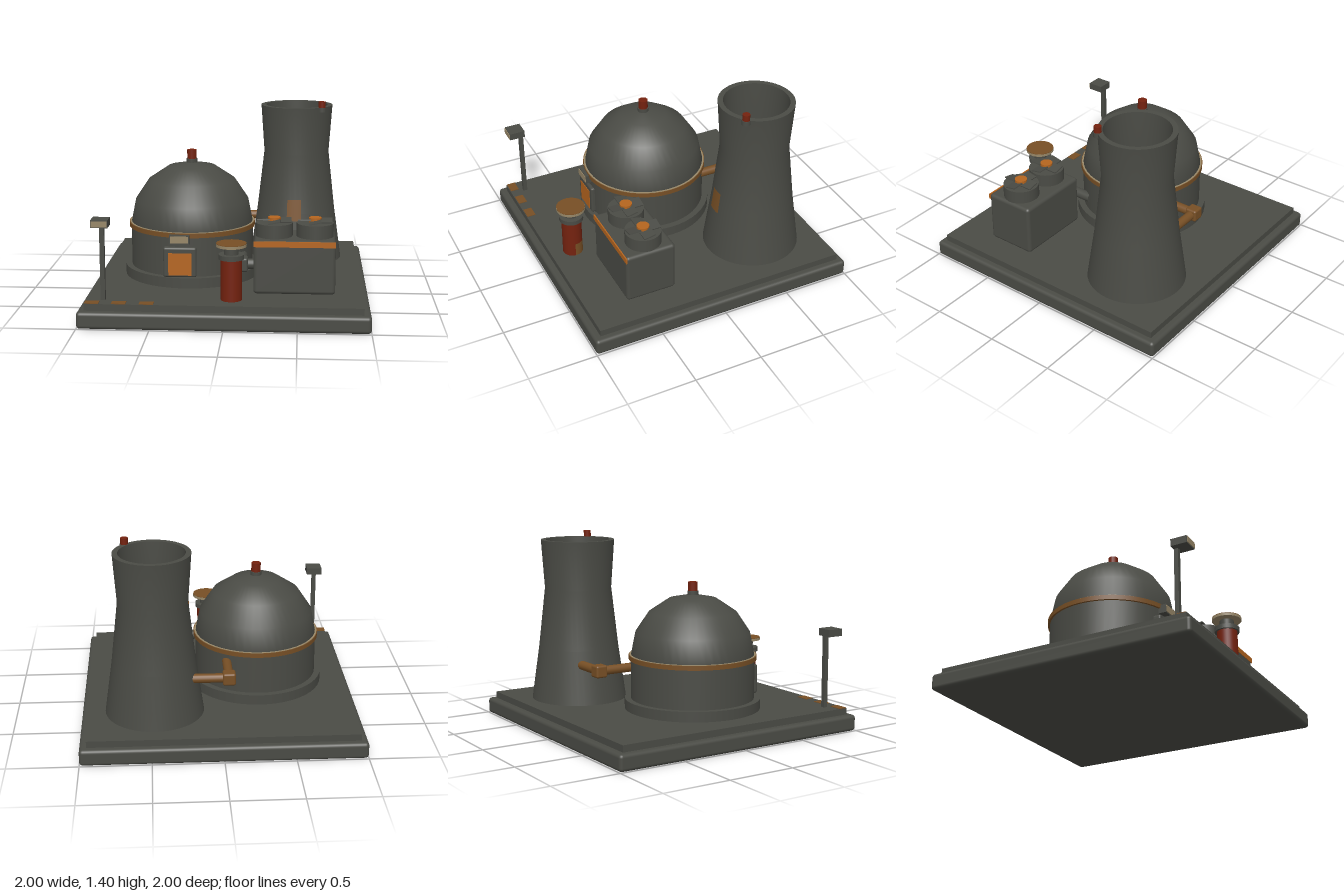
import * as THREE from 'three';
import { RoundedBoxGeometry } from 'three/addons/geometries/RoundedBoxGeometry.js';
import { toCreasedNormals } from 'three/addons/utils/BufferGeometryUtils.js';

const mat = (name, color) => Object.assign(new THREE.MeshStandardMaterial({ color }), { name });

export function createModel() {
  const grey = mat('concrete grey', 0x4a4b45);
  const brown = mat('rust brown', 0x774f25);
  const orange = mat('signal orange', 0xb5651f);
  const red = mat('dark red', 0x74220f);
  const beige = mat('beige', 0x978768);

  const model = new THREE.Group();
  model.name = 'powerPlant';

  const add = (name, geo, material, x = 0, y = 0, z = 0, parent = model) => {
    const m = new THREE.Mesh(geo, material);
    m.name = name;
    m.position.set(x, y, z);
    parent.add(m);
    return m;
  };
  // Box given by its min and max corners; r > 0 rounds the edges
  const box = (name, material, [x0, y0, z0], [x1, y1, z1], r = 0) => {
    const s = [x1 - x0, y1 - y0, z1 - z0];
    const geo = r ? new RoundedBoxGeometry(...s, 3, r) : new THREE.BoxGeometry(...s);
    return add(name, geo, material, (x0 + x1) / 2, (y0 + y1) / 2, (z0 + z1) / 2);
  };
  // Upright cylinder between two heights
  const drum = (name, material, x, z, r, y0, y1, sides = 32) =>
    add(name, new THREE.CylinderGeometry(r, r, y1 - y0, sides), material, x, (y0 + y1) / 2, z);
  // Straight pipe between two points
  const pipe = (name, material, a, b, r) => {
    const p = new THREE.Vector3(...a), q = new THREE.Vector3(...b);
    const d = q.clone().sub(p);
    const m = add(name, new THREE.CylinderGeometry(r, r, d.length(), 16), material);
    m.position.copy(p.add(q).multiplyScalar(0.5));
    m.quaternion.setFromUnitVectors(new THREE.Vector3(0, 1, 0), d.normalize());
  };
  const beacon = (name, x, z, r, y0, y1, y2) => {
    drum(name + 'Socket', grey, x, z, r * 1.15, y0, y1, 16);
    drum(name + 'Light', red, x, z, r, y1, y2, 16);
  };

  // Base slab, deck and painted deck marks
  box('baseSlab', grey, [-1, 0, -1], [1, 0.118, 1], 0.025);
  box('deck', grey, [-0.95, 0.11, -0.95], [0.95, 0.166, 0.95]);
  for (const x of [-0.95, -0.765, -0.575])
    box('deckMark', brown, [x, 0.165, 0.88], [x + 0.098, 0.17, 0.945]);

  // Reactor building with its dome
  const DX = -0.29, DZ = 0.04;
  drum('domePlinth', grey, DX, DZ, 0.495, 0.16, 0.24, 48);
  drum('domeDrum', grey, DX, DZ, 0.45, 0.24, 0.55, 48);
  drum('domeBand', brown, DX, DZ, 0.465, 0.525, 0.558, 48);
  drum('domeBandTrim', beige, DX, DZ, 0.46, 0.53, 0.561, 48);
  add('dome', new THREE.SphereGeometry(0.45, 48, 4, 0, Math.PI * 2, 0, Math.PI / 2),
    grey, DX, 0.55, DZ);
  beacon('domeBeacon', DX, DZ, 0.035, 0.98, 1.02, 1.085);

  // Door and the sign above it
  box('doorFrame', grey, [-0.457, 0.24, 0.42], [-0.22, 0.457, 0.512], 0.015);
  box('doorPanel', orange, [-0.42, 0.255, 0.508], [-0.255, 0.417, 0.516]);
  box('signBox', grey, [-0.41, 0.487, 0.45], [-0.268, 0.55, 0.53]);
  box('signFace', beige, [-0.403, 0.494, 0.526], [-0.275, 0.543, 0.535]);

  // Hollow cooling tower
  const TX = 0.475, TZ = -0.48;
  const profile = [
    [0, 0.2], [0.27, 0.2], [0.25, 0.55], [0.225, 1], [0.235, 1.36], [0.273, 1.36],
    [0.248, 1.0], [0.298, 0.56], [0.355, 0.16],
  ].map(([r, y]) => new THREE.Vector2(r, y)).reverse();
  add('coolingTower', toCreasedNormals(new THREE.LatheGeometry(profile, 48), 0.7), grey, TX, 0, TZ);
  const towerPatch = new THREE.CylinderGeometry(0.289, 0.31, 0.16, 6, 1, true, -0.22, 0.36);
  add('towerRustPatch', towerPatch, brown, TX, 0.585, TZ);
  beacon('towerBeacon', 0.665, -0.29, 0.027, 1.325, 1.36, 1.405);

  // Rusty pipe from dome to tower
  const py = 0.46;
  pipe('steamPipe', brown, [-0.052, py, -0.3], [-0.052, py, -0.605], 0.033);
  pipe('steamPipe', brown, [-0.052, py, -0.605], [0.24, py, -0.605], 0.033);
  box('steamElbow', brown, [-0.098, py - 0.045, -0.65], [-0.006, py + 0.045, -0.56], 0.015);

  // Cooler unit with its pipe
  box('coolerBody', grey, [0.19, 0.17, 0.285], [0.76, 0.55, 0.66], 0.025);
  box('coolerStripe', orange, [0.19, 0.508, 0.655], [0.76, 0.548, 0.664]);
  pipe('coolerPipe', grey, [0.095, 0.338, 0.24], [0.095, 0.338, 0.47], 0.037);
  pipe('coolerPipe', grey, [0.095, 0.338, 0.47], [0.21, 0.338, 0.47], 0.037);
  box('coolerElbow', grey, [0.045, 0.288, 0.42], [0.145, 0.388, 0.52], 0.015);

  // Two fans on the cooler
  for (const x of [0.33, 0.617]) {
    drum('fanHousing', grey, x, 0.47, 0.13, 0.545, 0.645);
    drum('fanHub', orange, x, 0.47, 0.045, 0.645, 0.682, 16);
    const fan = new THREE.Group();
    fan.name = 'fanBlades';
    fan.position.set(x, 0.661, 0.47);
    for (let i = 0; i < 4; i++) {
      const arm = new THREE.Group();
      arm.rotation.y = i * Math.PI / 2;
      const blade = add('fanBlade', new THREE.BoxGeometry(0.09, 0.008, 0.085), grey, 0.075, 0, 0, arm);
      blade.rotation.x = 0.2;
      fan.add(arm);
    }
    model.add(fan);
  }

  // Red tank with cap and round lid
  const KX = 0.045, KZ = 0.782;
  drum('tank', red, KX, KZ, 0.073, 0.16, 0.46);
  drum('tankCap', grey, KX, KZ, 0.088, 0.455, 0.488);
  drum('tankNeck', grey, KX, KZ, 0.05, 0.488, 0.545);
  drum('tankLid', beige, KX, KZ, 0.105, 0.543, 0.562);
  drum('tankLidTop', brown, KX, KZ, 0.104, 0.56, 0.566);
  add('tankRustPatch', new THREE.CylinderGeometry(0.0745, 0.0745, 0.1, 8, 1, true, 1.5, 1.3),
    brown, KX, 0.218, KZ);

  // Lamp post
  box('lampPost', grey, [-0.85, 0.16, 0.82], [-0.818, 0.7, 0.85]);
  box('lampHead', grey, [-0.895, 0.692, 0.818], [-0.778, 0.744, 0.936]);
  box('lampFace', beige, [-0.89, 0.697, 0.934], [-0.783, 0.739, 0.941]);

  return model;
}
